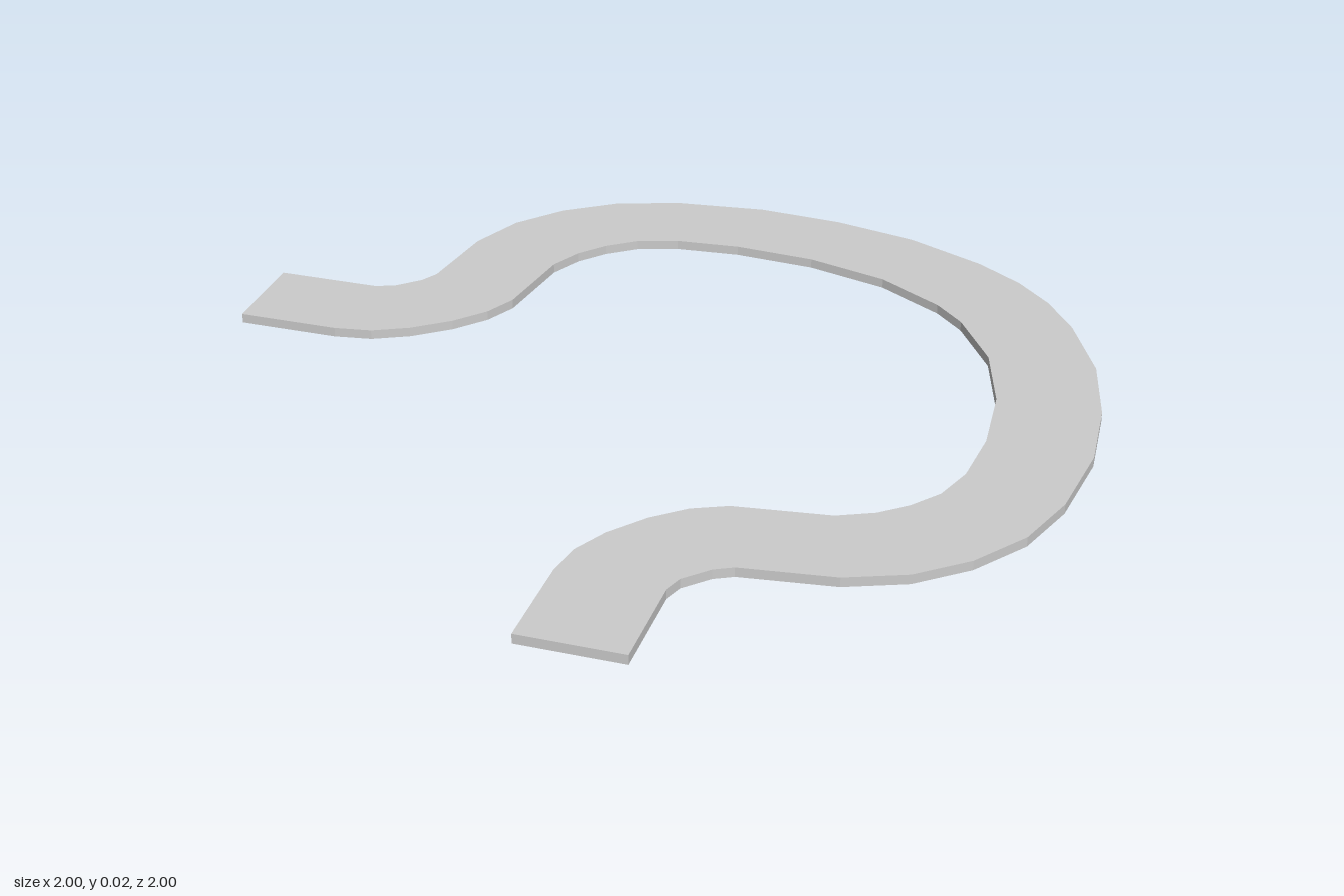
import * as THREE from 'three';

const THICKNESS = 0.022;

// One half of the strip outline, seen from above, as [x, -z];
// the other half is its mirror across the diagonal (x and y swapped).
const outerEdge = [
  [0.695, 0.78], [0.585, 0.855], [0.4, 0.94], [0.2, 0.985], [0, 1], [-0.21, 0.975],
  [-0.36, 0.925], [-0.48, 0.84], [-0.567, 0.735], [-0.62, 0.605],
  [-0.647, 0.4], [-0.668, 0.36], [-0.72, 0.31], [-0.765, 0.295], [-1, 0.295],
];
const innerEdge = [
  [-1, 0.063], [-0.765, 0.063], [-0.68, 0.077], [-0.6, 0.117], [-0.52, 0.18],
  [-0.46, 0.25], [-0.425, 0.325], [-0.397, 0.537], [-0.36, 0.615], [-0.31, 0.675],
  [-0.245, 0.725], [-0.15, 0.757], [0, 0.77], [0.19, 0.755], [0.38, 0.7], [0.535, 0.605],
];

export function createModel() {
  const group = new THREE.Group();
  group.name = 'curvedStrip';

  // Full closed outline: half, then its mirror in reverse order
  const half = [...outerEdge, ...innerEdge];
  const mirrored = half.map(([x, y]) => [y, x]).reverse();
  const outline = [...half, ...mirrored].map(([x, y]) => new THREE.Vector2(x, y));

  // Thin flat plate lying on the ground
  const geometry = new THREE.ExtrudeGeometry(new THREE.Shape(outline), {
    depth: THICKNESS,
    bevelEnabled: false,
  });
  geometry.rotateX(-Math.PI / 2);

  const strip = new THREE.Mesh(
    geometry,
    new THREE.MeshStandardMaterial({ color: 0xcccccc, flatShading: true })
  );
  strip.name = 'strip';
  group.add(strip);
  return group;
}
